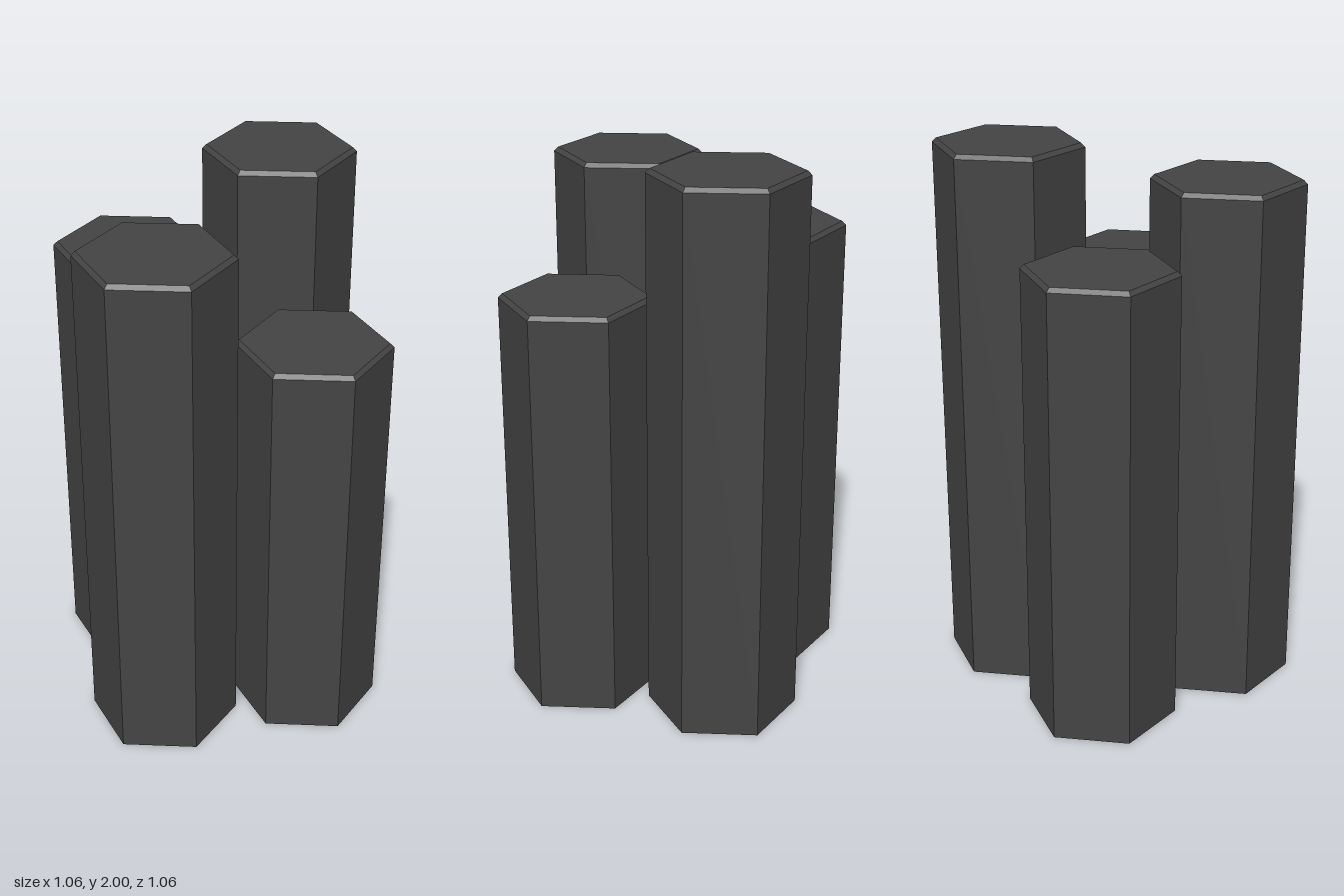
import * as THREE from 'three';

const RADIUS = 0.27;
const BEVEL = 0.015;
const SPACING = 0.27;

// Six-sided column with a flat base and a narrow bevel around the top
function columnGeometry(height) {
  const profile = [
    [0, 0],
    [RADIUS, 0],
    [RADIUS, height - BEVEL],
    [RADIUS - BEVEL, height],
    [0, height],
  ].map(([r, y]) => new THREE.Vector2(r, y));
  return new THREE.LatheGeometry(profile, 6, Math.PI / 12);
}

export function createModel() {
  const model = new THREE.Group();
  model.name = 'hexagonalColumns';

  const stone = new THREE.MeshStandardMaterial({ color: 0x444444, flatShading: true });
  stone.name = 'dark basalt';

  // Two by two cluster: name, x side, z side, height
  const columns = [
    ['frontLeftColumn', 1, 1, 1.515],
    ['frontRightColumn', -1, 1, 1.9],
    ['backLeftColumn', 1, -1, 2],
    ['backRightColumn', -1, -1, 1.68],
  ];
  for (const [name, sx, sz, height] of columns) {
    const column = new THREE.Mesh(columnGeometry(height), stone);
    column.name = name;
    column.position.set(sx * SPACING, 0, sz * SPACING);
    model.add(column);
  }
  return model;
}
